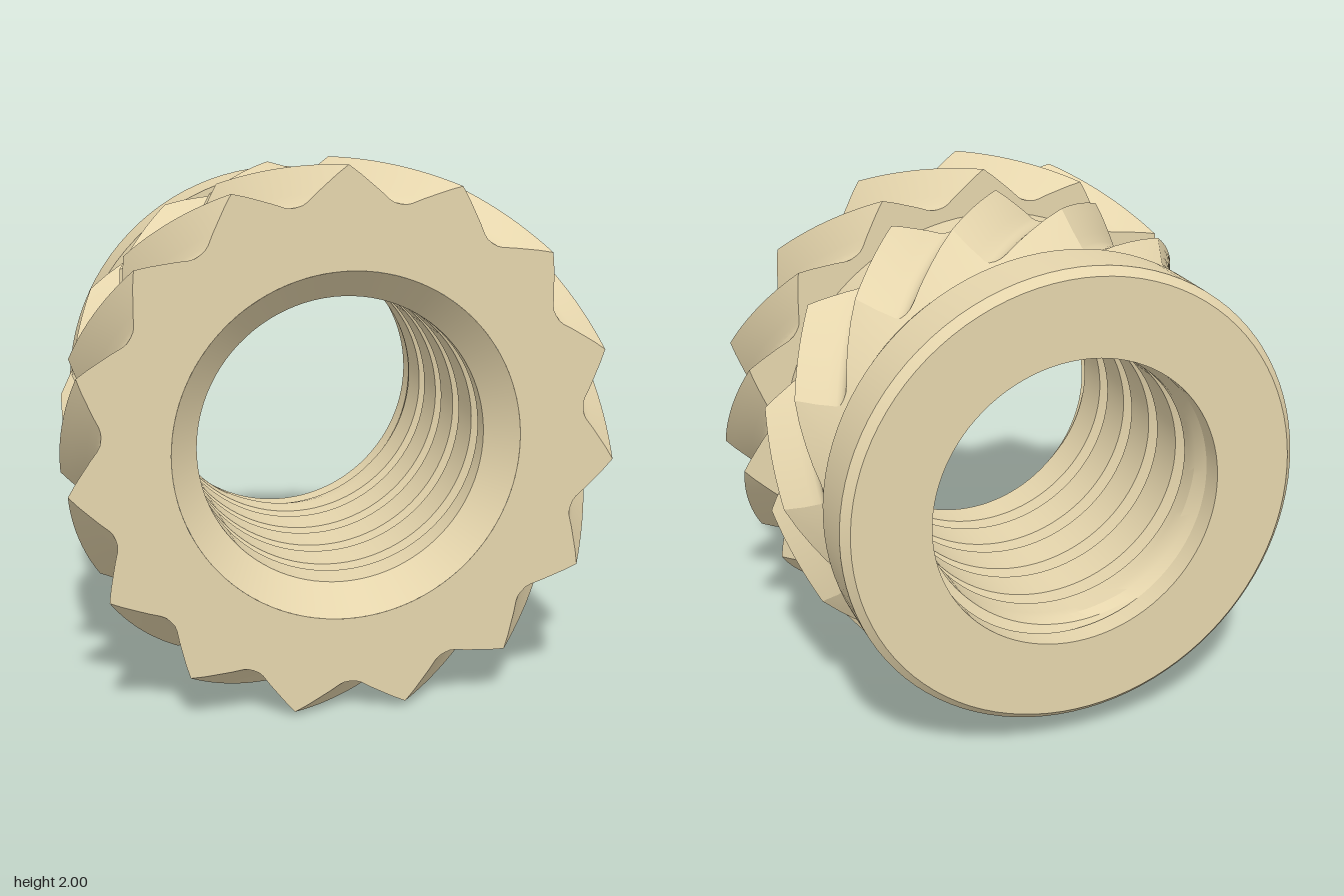
import * as THREE from 'three';
import { toCreasedNormals } from 'three/addons/utils/BufferGeometryUtils.js';

const TAU = Math.PI * 2;
const DEG = Math.PI / 180;
const HALF = 0.635; // half length along z
const { clamp, lerp } = THREE.MathUtils;

const brass = new THREE.MeshStandardMaterial({ color: 0xe5d5ac });
brass.name = 'brass';

// One tooth: [fraction of pitch, depth below the tip], sharp crest and rounded valley
const TOOTH = [
  [0, 0], [0.1, 0.03], [0.2, 0.06], [0.3, 0.087], [0.39, 0.111], [0.44, 0.119], [0.5, 0.121],
  [0.56, 0.119], [0.61, 0.111], [0.7, 0.087], [0.8, 0.06], [0.9, 0.03],
];

function mesh(name, geometry, crease = 0.45) {
  const m = new THREE.Mesh(toCreasedNormals(geometry, crease), brass);
  m.name = name;
  return m;
}

const polar = (r, a, z) => new THREE.Vector3(r * Math.cos(a), r * Math.sin(a), z);

// Skin a grid of points rows[k][i]; collapsed triangles are left out
function skin(rows, inward) {
  const out = [];
  const tri = (a, b, c) => {
    if (a.distanceTo(b) < 1e-6 || b.distanceTo(c) < 1e-6 || a.distanceTo(c) < 1e-6) return;
    for (const p of inward ? [a, c, b] : [a, b, c]) out.push(p.x, p.y, p.z);
  };
  for (let k = 0; k + 1 < rows.length; k++) {
    for (let i = 0; i + 1 < rows[k].length; i++) {
      tri(rows[k][i], rows[k][i + 1], rows[k + 1][i + 1]);
      tri(rows[k][i], rows[k + 1][i + 1], rows[k + 1][i]);
    }
  }
  const g = new THREE.BufferGeometry();
  g.setAttribute('position', new THREE.Float32BufferAttribute(out, 3));
  return g;
}

// Helical toothed ring; phase is the angle of a crest at the front, twist is radians per unit z.
// Behind z = shoulder the teeth are cut by a cone.
function toothedRing(name, { teeth, back, front, shoulder, tip, inner, phase, twist }) {
  const slope = 0.95;
  const row = (zOf, radius) => {
    const pts = [];
    for (let i = 0; i <= teeth * TOOTH.length; i++) {
      const [f, d] = TOOTH[i % TOOTH.length];
      const z = zOf(Math.max(back, shoulder - d / slope));
      const a = phase + ((Math.floor(i / TOOTH.length) + f) / teeth) * TAU + (z - front) * twist;
      const r = radius ?? Math.min(tip - d, tip + (z - shoulder) * slope);
      pts.push(polar(r, a, z));
    }
    return pts;
  };
  const rows = [row(() => back, inner)];
  for (let s = 0; s <= 6; s++) rows.push(row((cut) => lerp(back, cut, s / 6)));
  for (let s = 1; s <= 12; s++) rows.push(row((cut) => lerp(cut, front, s / 12)));
  rows.push(row(() => front, inner));
  return mesh(name, skin(rows, false));
}

// Turned part about the z axis from [radius, z] points
function turned(name, points) {
  const g = new THREE.LatheGeometry(points.map(([r, z]) => new THREE.Vector2(r, z)), 96);
  g.rotateX(Math.PI / 2);
  return mesh(name, g);
}

// Right-handed internal thread: wide crests, narrow grooves, running out at the back
function threadedBore(front, back, minor, major) {
  const pitch = 0.23, seg = 96;
  const depthAt = (u) => clamp(Math.min((u - 0.68) / 0.1, (1 - u) / 0.1), 0, 1);
  const rows = [];
  for (let turn = -4; turn <= 3; turn++) {
    for (const f of [0, 0.17, 0.34, 0.51, 0.68, 0.78, 0.9]) {
      const row = [];
      for (let i = 0; i <= seg; i++) {
        const lead = (pitch * i) / seg;
        const z = clamp((turn + f) * pitch + lead, back, front);
        const u = (z - lead) / pitch + 1e-7;
        const runout = 0.5 * clamp((back + 0.06 - z) / 0.06, 0, 1);
        const depth = Math.max(depthAt(u - Math.floor(u)), runout);
        row.push(polar(lerp(minor, major, depth), (i / seg) * TAU, z));
      }
      rows.push(row);
    }
  }
  return mesh('threadedBore', skin(rows, true), 0.35);
}

export function createModel() {
  const group = new THREE.Group();
  group.name = 'threadedInsert';

  // Collar with chamfered rim, and the two necks
  group.add(turned('collarAndNecks', [
    [0.556, -HALF], [0.85, -HALF], [0.88, -0.605], [0.88, -0.4],
    [0.795, -0.4], [0.795, 0], [0.825, 0], [0.825, 0.4],
  ]));

  // Front toothed ring; its end cap is the front face
  group.add(toothedRing('frontToothedRing', {
    teeth: 15, back: 0.317, front: HALF, shoulder: 0.317, tip: 1, inner: 0.635,
    phase: -5.5 * DEG, twist: -75 * DEG,
  }));

  // Middle toothed ring, twisted the other way with a tapered back edge
  group.add(toothedRing('middleToothedRing', {
    teeth: 14, back: -0.27, front: 0.172, shoulder: -0.125, tip: 0.955, inner: 0.75,
    phase: 12.86 * DEG, twist: 58.2 * DEG,
  }));

  // Countersunk mouth, thread and plain back bore
  group.add(turned('countersink', [[0.635, HALF], [0.53, 0.53], [0.582, 0.53]]));
  group.add(threadedBore(0.53, -0.55, 0.53, 0.582));
  group.add(turned('backBore', [[0.582, -0.55], [0.556, -0.55], [0.556, -HALF]]));

  for (const part of group.children) part.position.y = 1;
  return group;
}
